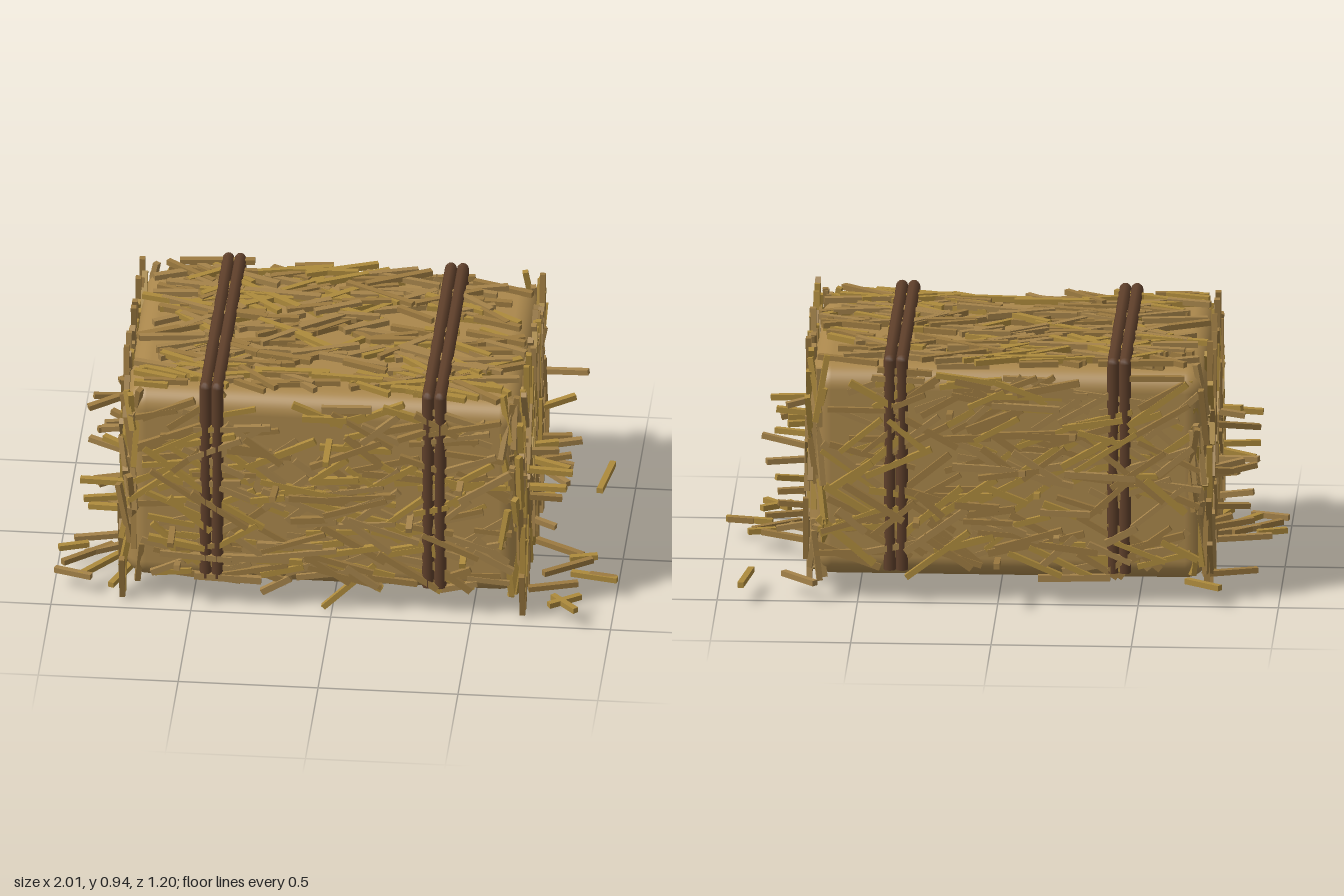
import * as THREE from 'three';
import { mergeGeometries } from 'three/addons/utils/BufferGeometryUtils.js';
import { RoundedBoxGeometry } from 'three/addons/geometries/RoundedBoxGeometry.js';

const CX = -0.035, CZ = -0.015; // centre of the bale body
const HX = 0.71, HZ = 0.455, Y0 = 0.08, Y1 = 0.86;
const STRAW_COLORS = [0xa5834a, 0x9c7a40, 0xad8a3c];

// small seeded random generator
let seed = 11;
function rnd(a = 0, b = 1) {
  seed = (seed * 16807) % 2147483647;
  return a + (b - a) * (seed / 2147483647);
}
const V = (x, y, z) => new THREE.Vector3(x, y, z);

export function createModel() {
  const bale = new THREE.Group();
  bale.name = 'hayBale';

  // Solid body
  const core = new THREE.Mesh(
    new RoundedBoxGeometry(2 * HX, Y1 - Y0, 2 * HZ, 5, 0.08),
    new THREE.MeshStandardMaterial({ color: 0xaa874c }));
  core.name = 'baleBody';
  core.position.set(CX, (Y0 + Y1) / 2, CZ);
  bale.add(core);

  // Straw pieces are collected by shade, then merged for each group
  let bins = [[], [], []];
  function straw(pos, dir, normal, length, width = rnd(0.018, 0.026)) {
    const d = dir.clone().normalize();
    const side = normal.clone().cross(d).normalize();
    const up = d.clone().cross(side);
    const g = new THREE.BoxGeometry(length, width, 0.02);
    g.applyMatrix4(new THREE.Matrix4().makeBasis(d, side, up).setPosition(pos));
    bins[Math.floor(rnd(0, 2.999))].push(g);
  }
  function finish(name) {
    const group = new THREE.Group();
    group.name = name;
    bins.forEach((list, i) => {
      if (!list.length) return;
      const mesh = new THREE.Mesh(mergeGeometries(list),
        new THREE.MeshStandardMaterial({ color: STRAW_COLORS[i] }));
      mesh.name = name + 'Shade' + (i + 1);
      group.add(mesh);
    });
    bins = [[], [], []];
    bale.add(group);
  }

  // Layer of straw lying on a face: u is the main grain, v runs across it
  function layer(name, centre, u, v, hu, hv, count, spread) {
    const n = u.clone().cross(v);
    for (let i = 0; i < count; i++) {
      const angle = rnd(-spread, spread);
      const len = rnd(0.12, 0.28);
      const ru = hu - Math.abs(Math.cos(angle)) * len / 2;
      const rv = hv - Math.abs(Math.sin(angle)) * len / 2;
      const dir = u.clone().multiplyScalar(Math.cos(angle))
        .addScaledVector(v, Math.sin(angle));
      const p = centre.clone().addScaledVector(u, rnd(-ru, ru))
        .addScaledVector(v, rnd(-rv, rv)).addScaledVector(n, rnd(-0.008, 0.014));
      straw(p, dir, n, len);
    }
    finish(name);
  }
  const X = V(1, 0, 0), Y = V(0, 1, 0), Z = V(0, 0, 1);
  layer('topStraw', V(CX, 0.876, CZ), X, V(0, 0, -1), 0.7, 0.465, 260, 0.75);
  layer('frontStraw', V(CX, 0.48, CZ + HZ), X, Y, 0.69, 0.39, 230, 0.75);
  layer('backStraw', V(CX, 0.48, CZ - HZ), V(-1, 0, 0), Y, 0.69, 0.39, 230, 0.75);
  layer('leftEndStraw', V(CX + HX, 0.48, CZ), Y, Z, 0.44, 0.46, 150, 0.6);
  layer('rightEndStraw', V(CX - HX, 0.48, CZ), Y, V(0, 0, -1), 0.44, 0.46, 150, 0.6);

  // Upright straws bunched along the four vertical corners
  for (const sx of [-1, 1]) for (const sz of [-1, 1]) {
    for (let i = 0; i < 24; i++) {
      straw(V(CX + sx * rnd(0.65, 0.71), rnd(0.15, 0.8), CZ + sz * rnd(0.41, 0.46)),
        V(rnd(-0.2, 0.2), 1, rnd(-0.3, 0.3)), V(sx, 0, rnd(-0.6, 0.6)), rnd(0.14, 0.25));
    }
  }
  finish('cornerStraw');

  // Straws poking out of the front and back: x, y, reach
  const pokes = {
    1: [[-0.57, 0.3, 0.54], [-0.2, 0.51, 0.6], [-0.01, 0.69, 0.6], [0.28, 0.4, 0.52],
      [0.46, 0.55, 0.53], [-0.55, 0.16, 0.51], [0.47, 0.25, 0.5]],
    '-1': [[-0.27, 0.63, 0.6], [-0.14, 0.4, 0.55], [-0.09, 0.49, 0.59], [0, 0.16, 0.6],
      [0.17, 0.7, 0.56], [0.29, 0.3, 0.55], [-0.21, 0.25, 0.53]],
  };
  for (const s of [1, -1]) for (const [x, y, reach] of pokes[s]) {
    straw(V(x, y, s * (reach - 0.09)), V(0, rnd(-0.25, 0.25), s), Y, 0.18, 0.022);
  }
  // Straws poking out of both ends
  for (const s of [1, -1]) for (let i = 0; i < 15; i++) {
    straw(V(CX + s * rnd(0.72, 0.79), rnd(0.2, 0.58), rnd(-0.42, 0.4)),
      V(s, rnd(-0.2, 0.25), rnd(-0.5, 0.5)), Y, rnd(0.14, 0.21));
  }
  finish('pokingStraw');

  // Loose straws on the ground: x, z, angle, length
  const loose = [
    [-0.93, 0.39, -0.3, 0.14], [-0.89, 0.25, 0.7, 0.22], [-0.83, 0.31, 0.9, 0.24],
    [-0.84, 0.12, 0.25, 0.22], [-0.81, 0.2, 0.5, 0.2], [-0.76, 0.39, 1.2, 0.16],
    [0.92, 0.25, -0.2, 0.17], [0.87, 0.12, 0.25, 0.1], [0.82, 0.19, 0.6, 0.2],
    [0.83, 0.45, -0.8, 0.13], [0.83, 0.43, 0.6, 0.13], [0.9, -0.45, 1.42, 0.2],
    [0.78, 0.06, -0.5, 0.2], [0.78, 0.33, 0.3, 0.18], [-0.82, -0.3, 0.3, 0.2],
    [0.71, -0.45, -0.8, 0.17], [-0.73, -0.46, -0.6, 0.15],
  ];
  for (const [x, z, a, len] of loose) {
    straw(V(x, 0.072, z), V(Math.cos(a), 0, -Math.sin(a)), Y, len, 0.022);
  }
  straw(V(-0.945, 0.072, 0.2), V(1, 0, -0.35), Y, 0.11, 0.022);
  straw(V(0.95, 0.072, 0.25), V(1, 0, 0.2), Y, 0.095, 0.022);
  // A few stray pieces hanging below the lower edges and above the ends
  straw(V(0.06, 0.1, 0.44), V(1, 1, 0), Z, 0.26);
  straw(V(-0.2, 0.09, 0.44), V(1, 0.6, 0), Z, 0.12);
  for (const z of [0.45, 0.38, -0.11, -0.3]) for (const s of [1, -1]) {
    straw(V(CX + s * 0.715, 0.1, z), V(0, 1, rnd(-0.3, 0.3)), V(s, 0, 0), 0.18);
  }
  for (const z of [0.28, 0.18, -0.03, -0.36]) for (const s of [1, -1]) {
    straw(V(CX + s * 0.715, 0.85, z), V(0, 1, rnd(-0.25, 0.25)), V(s, 0, 0), 0.19);
  }
  finish('looseStraw');

  // Paired twines over the top and down the front and back
  const twineMat = new THREE.MeshStandardMaterial({ color: 0x5e3f2a });
  const r = 0.022, zf = 0.442, zb = -0.468, top = 0.892, low = 0.115;
  function rod(a, b) {
    const g = new THREE.CylinderGeometry(r, r, a.distanceTo(b), 8);
    const q = new THREE.Quaternion().setFromUnitVectors(Y, b.clone().sub(a).normalize());
    g.applyQuaternion(q);
    const m = a.clone().add(b).multiplyScalar(0.5);
    return g.translate(m.x, m.y, m.z);
  }
  for (const x of [-0.452, -0.41, 0.343, 0.386]) {
    const parts = [
      rod(V(x, low, zf), V(x, top, zf)),
      rod(V(x, top, zf), V(x, top, zb)),
      rod(V(x, top, zb), V(x, low, zb)),
    ];
    for (const z of [zf, zb]) parts.push(new THREE.SphereGeometry(r, 8, 6).translate(x, top, z));
    const twine = new THREE.Mesh(mergeGeometries(parts), twineMat);
    twine.name = 'twine';
    bale.add(twine);
  }
  return bale;
}
